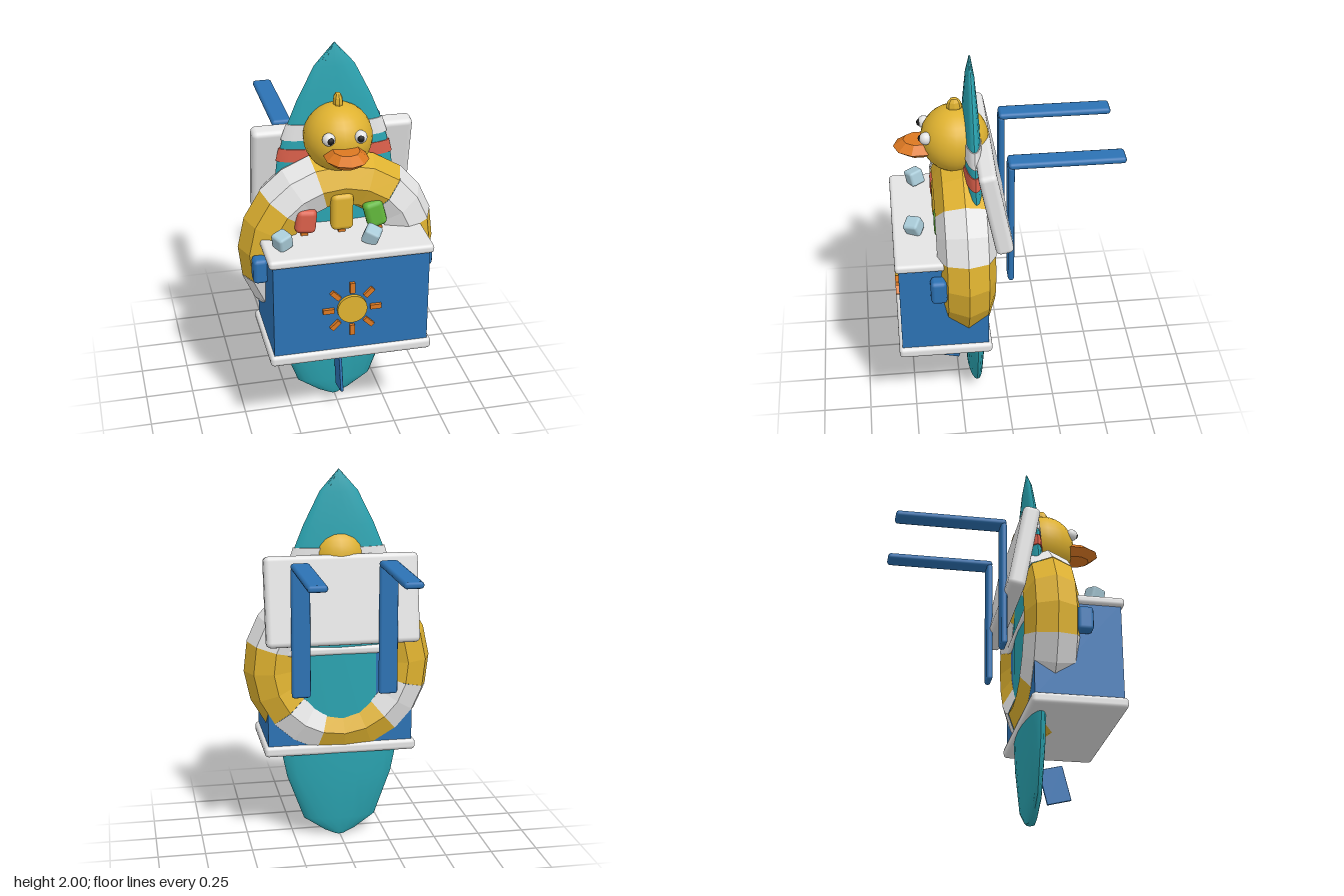
import * as THREE from 'three';
import { toCreasedNormals } from 'three/addons/utils/BufferGeometryUtils.js';
import { RoundedBoxGeometry } from 'three/addons/geometries/RoundedBoxGeometry.js';

const mat = (name, color) => {
  const m = new THREE.MeshStandardMaterial({ color });
  m.name = name;
  return m;
};

// Board outline: height, half width, half thickness
const BOARD = [
  [2.0, 0.003, 0.004], [1.89, 0.1, 0.022], [1.72, 0.185, 0.036], [1.56, 0.25, 0.046],
  [1.4, 0.29, 0.052], [1.1, 0.325, 0.058], [0.7, 0.33, 0.058], [0.48, 0.312, 0.058],
  [0.345, 0.285, 0.056], [0.1, 0.195, 0.042], [0.025, 0.085, 0.03], [0, 0.03, 0.022],
];

function boardAt(y) {
  const i = BOARD.findIndex((r) => r[0] <= y);
  const a = BOARD[i - 1], b = BOARD[i], t = (a[0] - y) / (a[0] - b[0]);
  return [y, a[1] + (b[1] - a[1]) * t, a[2] + (b[2] - a[2]) * t];
}

// Closed loft through elliptical sections listed from top to bottom
function loft(sections, sides = 20) {
  const rows = [[sections[0][0], 0, 0], ...sections, [sections.at(-1)[0], 0, 0]];
  const pos = [], index = [];
  for (const [y, w, d] of rows) {
    for (let i = 0; i < sides; i++) {
      const a = (i / sides) * Math.PI * 2;
      pos.push(w * Math.cos(a), y, d * Math.sin(a));
    }
  }
  for (let r = 0; r < rows.length - 1; r++) {
    for (let i = 0; i < sides; i++) {
      const j = (i + 1) % sides;
      const a = r * sides + i, b = r * sides + j, c = a + sides, d = b + sides;
      if (r > 0) index.push(a, b, c);
      if (r < rows.length - 2) index.push(b, d, c);
      else index.push(a, b, c);
      if (r === 0) index.push(b, d, c);
    }
  }
  const g = new THREE.BufferGeometry();
  g.setAttribute('position', new THREE.Float32BufferAttribute(pos, 3));
  g.setIndex(index);
  return toCreasedNormals(g, 0.6);
}

function faceted(geometry) {
  const g = geometry.toNonIndexed();
  g.computeVertexNormals();
  return g;
}

export function createModel() {
  const model = new THREE.Group();
  const teal = mat('teal', 0x2aa3b0);
  const yellow = mat('yellow', 0xdfb230);
  const blue = mat('blue', 0x2c72b4);
  const white = mat('white', 0xe4e4e4);
  const orange = mat('orange', 0xdc7822);
  const red = mat('red', 0xd95f4a);
  const green = mat('green', 0x62b83c);
  const ice = mat('ice', 0xa9cbd8);
  const black = mat('black', 0x1c1c1c);

  const add = (name, geometry, material, x = 0, y = 0, z = 0, parent = model) => {
    const m = new THREE.Mesh(geometry, material);
    m.name = name;
    m.position.set(x, y, z);
    parent.add(m);
    return m;
  };
  const rbox = (w, h, d, r, s = 2) => new RoundedBoxGeometry(w, h, d, s, r);

  // Surfboard with two painted bands and a fin
  add('surfboard', loft(BOARD), teal, 0, 0, 0.16);
  const band = (name, top, bottom, material) => {
    const sections = [top, bottom].map((y) => {
      const [h, w, d] = boardAt(y);
      return [h, w + 0.008, d + 0.005];
    });
    add(name, loft(sections), material, 0, 0, 0.16);
  };
  band('upperBand', 1.6, 1.52, white);
  band('lowerBand', 1.475, 1.41, red);
  add('fin', rbox(0.016, 0.185, 0.127, 0.005, 1), blue, 0, 0.207, 0.285).rotation.x = -0.24;

  // Swim ring made of alternating arcs
  const ring = new THREE.Group();
  ring.name = 'swimRing';
  ring.position.set(0, 0.96, 0.215);
  model.add(ring);
  const rad = THREE.MathUtils.degToRad;
  for (let i = 0; i < 4; i++) {
    add('ringWhiteArc', faceted(new THREE.TorusGeometry(0.36, 0.147, 8, 2, rad(34))), white, 0, 0, 0, ring)
      .rotation.z = rad(16 + i * 90);
    add('ringYellowArc', faceted(new THREE.TorusGeometry(0.36, 0.145, 8, 3, rad(56))), yellow, 0, 0, 0, ring)
      .rotation.z = rad(50 + i * 90);
  }

  // Duck head
  add('duckHead', new THREE.SphereGeometry(0.17, 24, 16), yellow, 0, 1.55, 0.24);
  add('duckTuft', faceted(new THREE.SphereGeometry(1, 8, 6)), yellow, 0, 1.727, 0.238).scale.set(0.025, 0.05, 0.038);
  const beakProfile = [[0, -1], [0.6, -1], [1, 0], [0.6, 1], [0, 1]].map((p) => new THREE.Vector2(...p));
  add('duckBeak', faceted(new THREE.LatheGeometry(beakProfile, 10)), orange, 0, 1.517, 0.42).scale.set(0.108, 0.036, 0.125);
  for (const s of [-1, 1]) {
    add('duckEye', new THREE.SphereGeometry(0.032, 12, 8), white, s * 0.078, 1.6, 0.386);
    add('duckPupil', new THREE.SphereGeometry(0.019, 10, 8), black, s * 0.074, 1.6, 0.405);
  }

  // Cooler box
  add('coolerBody', new THREE.BoxGeometry(0.78, 0.52, 0.445), blue, 0, 0.785, 0.3355);
  add('coolerBase', rbox(0.82, 0.058, 0.48, 0.02), white, 0, 0.508, 0.335);
  add('coolerLid', rbox(0.82, 0.046, 0.48, 0.018), white, 0, 1.052, 0.335);
  for (const s of [-1, 1]) {
    add('coolerHandle', rbox(0.075, 0.13, 0.083, 0.02, 1), blue, s * 0.42, 0.927, 0.362);
  }

  // Sun emblem on the cooler front
  const sun = new THREE.Group();
  sun.name = 'sun';
  sun.position.set(0, 0.765, 0.565);
  model.add(sun);
  add('sunDisc', new THREE.CylinderGeometry(0.075, 0.075, 0.02, 20), yellow, 0, 0, 0, sun).rotation.x = Math.PI / 2;
  for (let i = 0; i < 8; i++) {
    const a = (i * Math.PI) / 4;
    add('sunRay', new THREE.BoxGeometry(0.056, 0.024, 0.02), orange, 0.119 * Math.cos(a), 0.119 * Math.sin(a), 0, sun)
      .rotation.z = a;
  }

  // Ice pops: x, width, height, lean
  for (const [name, material, x, w, h, lean] of [
    ['redPop', red, -0.19, 0.105, 0.125, -0.1],
    ['yellowPop', yellow, 0, 0.112, 0.195, 0],
    ['greenPop', green, 0.19, 0.1, 0.14, 0.25],
  ]) {
    const pop = new THREE.Group();
    pop.name = name;
    pop.position.set(x, 1.07, 0.33);
    pop.rotation.z = lean;
    model.add(pop);
    add('popIce', rbox(w, h, 0.07, 0.026), material, 0, 0.022 + h / 2, 0, pop);
    add('popStick', new THREE.BoxGeometry(0.035, 0.08, 0.02), orange, 0, 0, 0, pop);
  }

  // Ice cubes
  add('iceCube', rbox(0.08, 0.08, 0.08, 0.014, 1), ice, -0.32, 1.115, 0.44).rotation.set(0.15, 0.5, 0.15);
  add('iceCube', rbox(0.08, 0.08, 0.08, 0.014, 1), ice, 0.12, 1.11, 0.465).rotation.set(0.2, -0.5, -0.3);

  // Tilted back panel with two angled brackets
  add('backPanel', rbox(0.81, 0.47, 0.09, 0.026), white, 0, 1.335, 0.07).rotation.x = 0.19;
  for (const s of [-1, 1]) {
    add('bracketUpright', rbox(0.1, 0.69, 0.032, 0.014, 1), blue, s * 0.23, 1.185, -0.014);
    add('bracketArm', rbox(0.1, 0.034, 0.575, 0.015, 1), blue, s * 0.23, 1.534, -0.2875);
  }
  return model;
}
